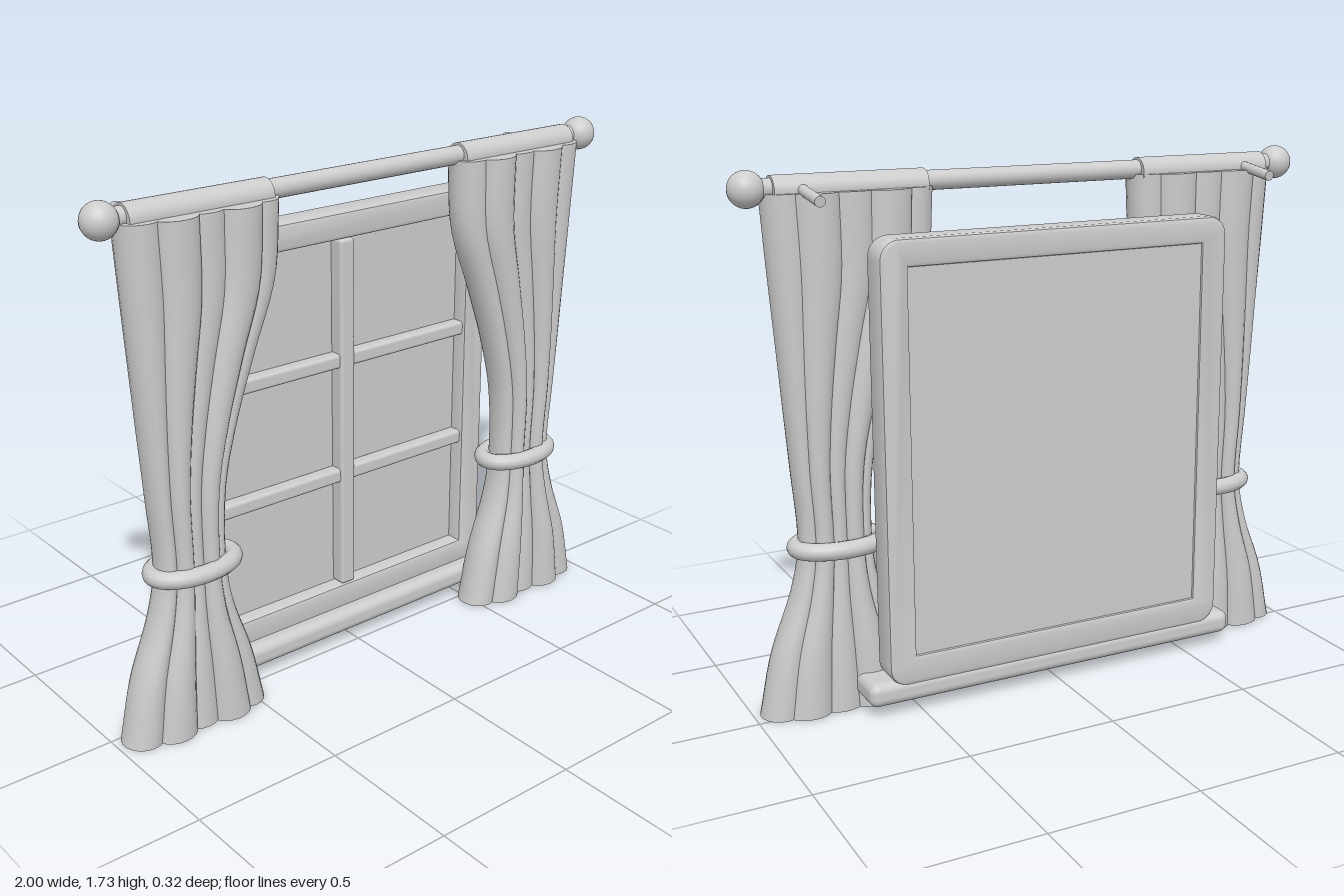
import * as THREE from 'three';
import { toCreasedNormals } from 'three/addons/utils/BufferGeometryUtils.js';
import { RoundedBoxGeometry } from 'three/addons/geometries/RoundedBoxGeometry.js';

const grey = new THREE.MeshStandardMaterial({ color: 0xcccccc });
grey.name = 'light grey';

function add(parent, name, geometry, x = 0, y = 0, z = 0) {
  const mesh = new THREE.Mesh(geometry, grey);
  mesh.name = name;
  mesh.position.set(x, y, z);
  parent.add(mesh);
  return mesh;
}

// Rectangle outline with rounded corners
function roundedRect(target, x0, y0, x1, y1, r) {
  target.moveTo(x0 + r, y0);
  target.lineTo(x1 - r, y0);
  target.absarc(x1 - r, y0 + r, r, -Math.PI / 2, 0);
  target.lineTo(x1, y1 - r);
  target.absarc(x1 - r, y1 - r, r, 0, Math.PI / 2);
  target.lineTo(x0 + r, y1);
  target.absarc(x0 + r, y1 - r, r, Math.PI / 2, Math.PI);
  target.lineTo(x0, y0 + r);
  target.absarc(x0 + r, y0 + r, r, Math.PI, Math.PI * 1.5);
  return target;
}

// Curtain silhouette by height: (inner x, height, outer x), and half depth
const outline = new THREE.CatmullRomCurve3([
  [0.46, 0.0, 0.98], [0.505, 0.2, 0.935], [0.57, 0.4, 0.86], [0.59, 0.55, 0.83],
  [0.58, 0.8, 0.845], [0.53, 1.0, 0.86], [0.455, 1.21, 0.875], [0.375, 1.42, 0.89], [0.355, 1.66, 0.905],
].map((p) => new THREE.Vector3(...p)));
const halfDepth = new THREE.CatmullRomCurve3(
  [0.1, 0.095, 0.08, 0.072, 0.076, 0.08, 0.085, 0.09, 0.094].map((d, i) => new THREE.Vector3(d, i, 0)));

// Folds: centre across, centre in depth, half width, half depth, as fractions of the curtain
const folds = [
  [0.74, 0.0, 0.26, 0.72], [0.36, 0.48, 0.26, 0.52], [-0.03, 0.22, 0.26, 0.55],
  [-0.43, 0.48, 0.26, 0.52], [-0.76, 0.0, 0.24, 0.7],
  [0.42, -0.45, 0.28, 0.55], [0.0, -0.4, 0.26, 0.5], [-0.42, -0.45, 0.28, 0.55],
];

function foldGeometry([u, w, ru, rw], side) {
  const g = new THREE.CylinderGeometry(1, 1, 1, 18, 36);
  const pos = g.attributes.position;
  for (let i = 0; i < pos.count; i++) {
    const t = THREE.MathUtils.clamp(pos.getY(i) + 0.5, 0, 1);
    const o = outline.getPoint(t);
    const d = halfDepth.getPoint(t).x;
    const half = (o.z - o.x) / 2;
    const x = side * ((o.x + o.z) / 2 + u * half) + pos.getX(i) * ru * half;
    pos.setXYZ(i, x, o.y, 0.047 + (w + pos.getZ(i) * rw) * d);
  }
  return toCreasedNormals(g, 0.9);
}

// Closed oval path for the tie
class Oval extends THREE.Curve {
  getPoint(t, target = new THREE.Vector3()) {
    const a = t * Math.PI * 2;
    return target.set(Math.cos(a) * 0.142, 0, Math.sin(a) * 0.082);
  }
}

function buildWindow() {
  const win = new THREE.Group();
  win.name = 'window';

  // Frame with a bevelled opening
  const shape = roundedRect(new THREE.Shape(), -0.6, 0.115, 0.6, 1.515, 0.05);
  shape.holes.push(roundedRect(new THREE.Path(), -0.535, 0.185, 0.535, 1.455, 0.004));
  const frame = new THREE.ExtrudeGeometry(shape, {
    depth: 0.08, bevelThickness: 0.015, bevelSize: 0.015, bevelSegments: 2, curveSegments: 8,
  });
  add(win, 'frame', toCreasedNormals(frame, 0.6), 0, 0, -0.145);

  // Glass slab and sill
  add(win, 'glass', new THREE.BoxGeometry(1.06, 1.26, 0.045), 0, 0.82, -0.1275);
  add(win, 'sill', new RoundedBoxGeometry(1.36, 0.08, 0.16, 4, 0.03), 0, 0.08, -0.08);

  // Glazing bars
  add(win, 'verticalBar', new RoundedBoxGeometry(0.058, 1.24, 0.06, 3, 0.012), 0, 0.82, -0.082);
  for (const y of [1.026, 0.614]) {
    add(win, 'horizontalBar', new RoundedBoxGeometry(1.05, 0.05, 0.05, 3, 0.012), 0, y, -0.085);
  }

  // Thin patches on the panes with wavy edges
  const patch = (name, edge, corners) => {
    const curve = new THREE.SplineCurve(edge.map((p) => new THREE.Vector2(...p)));
    const s = new THREE.Shape([...curve.getPoints(32), ...corners.map((p) => new THREE.Vector2(...p))]);
    add(win, name, new THREE.ExtrudeGeometry(s, { depth: 0.004, bevelEnabled: false }), 0, 0, -0.106);
  };
  patch('upperPanePatch',
    [[-0.52, 1.19], [-0.46, 1.2], [-0.4, 1.22], [-0.31, 1.205], [-0.25, 1.27], [-0.23, 1.33], [-0.19, 1.36], [-0.17, 1.44]],
    [[-0.52, 1.44]]);
  patch('lowerPanePatch',
    [[-0.52, 0.6], [-0.3, 0.59], [-0.24, 0.565], [-0.18, 0.6], [0.02, 0.6], [0.09, 0.57], [0.15, 0.6], [0.36, 0.59], [0.43, 0.57], [0.52, 0.6]],
    [[0.52, 0.63], [-0.52, 0.63]]);
  return win;
}

function buildCurtain(side) {
  const curtain = new THREE.Group();
  curtain.name = side > 0 ? 'leftCurtain' : 'rightCurtain';
  for (const f of folds) add(curtain, 'fold', foldGeometry(f, side));

  // Tie around the gathered cloth
  add(curtain, 'tie', new THREE.TubeGeometry(new Oval(), 48, 0.029, 12, true), side * 0.697, 0.547, 0.045);

  // Sleeve round the rod
  const sleeve = new THREE.CylinderGeometry(0.048, 0.048, 0.49, 28).rotateZ(Math.PI / 2);
  add(curtain, 'sleeve', sleeve, side * 0.628, 1.665, 0.039);
  return curtain;
}

export function createModel() {
  const model = new THREE.Group();
  model.name = 'curtainedWindow';
  model.add(buildWindow(), buildCurtain(1), buildCurtain(-1));

  // Rod, end balls and wall brackets
  const rod = new THREE.Group();
  rod.name = 'curtainRod';
  model.add(rod);
  add(rod, 'pole', new THREE.CylinderGeometry(0.031, 0.031, 1.84, 24).rotateZ(Math.PI / 2), 0, 1.674, 0.039);
  for (const s of [1, -1]) {
    add(rod, 'endBall', new THREE.SphereGeometry(0.056, 28, 20), s * 0.944, 1.674, 0.043);
    const bracket = new THREE.CylinderGeometry(0.017, 0.017, 0.19, 16).rotateX(Math.PI / 2 - 0.13);
    add(rod, 'bracket', bracket, s * 0.785, 1.662, -0.055).rotation.x = 0;
  }
  return model;
}
